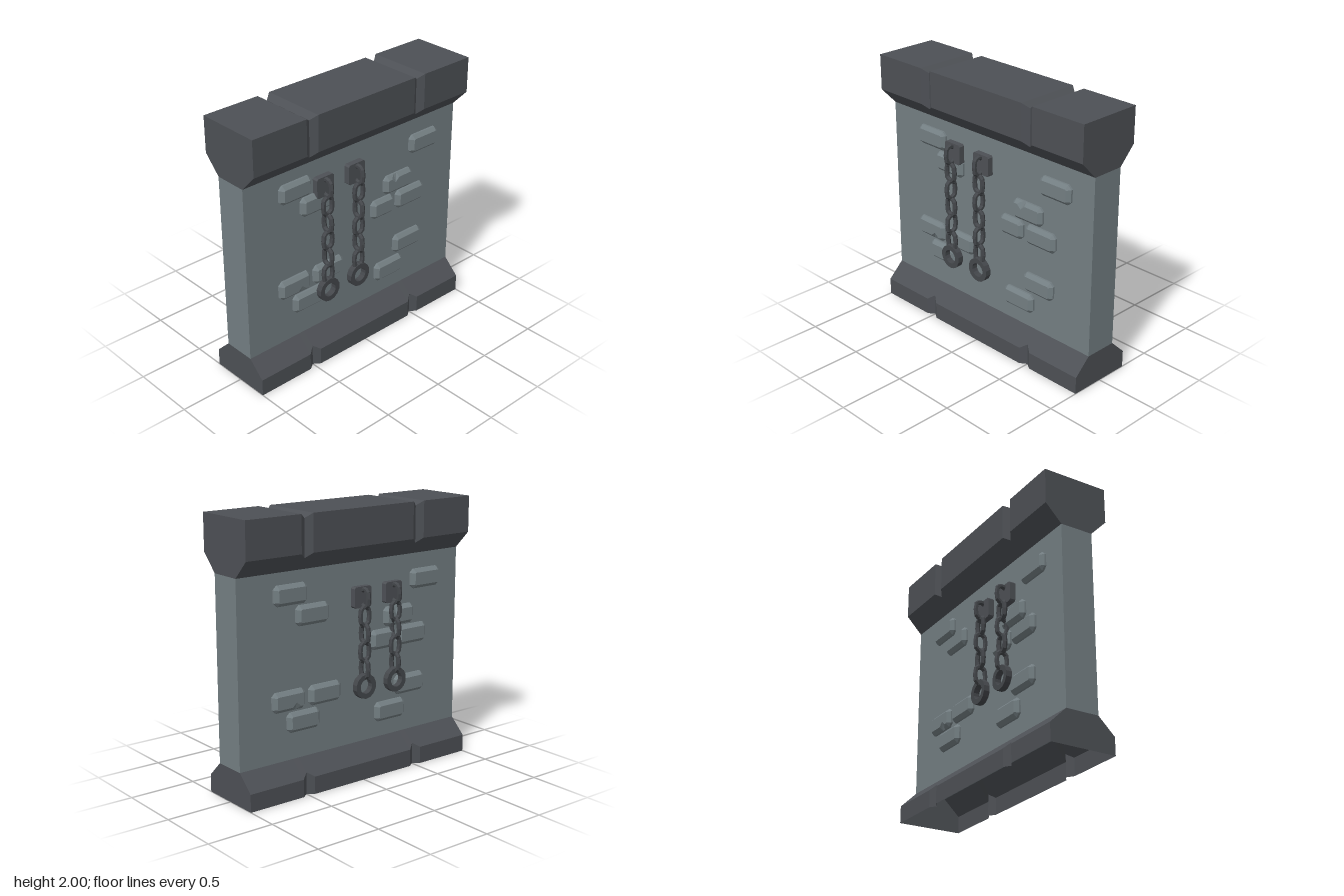
import * as THREE from 'three';

const mat = (name, color, side = THREE.FrontSide) => {
  const m = new THREE.MeshStandardMaterial({ color, side, flatShading: true });
  m.name = name;
  return m;
};

const add = (parent, name, geometry, material, x = 0, y = 0, z = 0) => {
  const mesh = new THREE.Mesh(geometry, material);
  mesh.name = name;
  mesh.position.set(x, y, z);
  parent.add(mesh);
  return mesh;
};

// Joins counter-clockwise 2D loops at rising z; skip lists loop segments left open.
function loft(loops, skip = [], capStart = true) {
  const pos = [];
  const put = (i, j) => pos.push(loops[i].pts[j][0], loops[i].pts[j][1], loops[i].z);
  const n = loops[0].pts.length, last = loops.length - 1;
  for (let i = 0; i < last; i++) {
    for (let j = 0; j < n; j++) {
      if (skip.includes(j)) continue;
      const k = (j + 1) % n;
      put(i, j); put(i, k); put(i + 1, k);
      put(i, j); put(i + 1, k); put(i + 1, j);
    }
  }
  const cap = (i, flip) => {
    const contour = loops[i].pts.map(p => new THREE.Vector2(p[0], p[1]));
    for (const [a, b, c] of THREE.ShapeUtils.triangulateShape(contour, [])) {
      (flip ? [a, c, b] : [a, b, c]).forEach(v => put(i, v));
    }
  };
  cap(last, false);
  if (capStart) cap(0, true);
  const g = new THREE.BufferGeometry();
  g.setAttribute('position', new THREE.Float32BufferAttribute(pos, 3));
  g.computeVertexNormals();
  return g;
}

// Long moulding along x with V grooves at x = -0.5 and 0.5
function moulding(full, grooved, skip) {
  const stations = [-1, -0.55, -0.5, -0.45, 0.45, 0.5, 0.55, 1];
  const loops = stations.map(z => ({ z, pts: Math.abs(z) === 0.5 ? grooved : full }));
  return loft(loops, skip).rotateY(Math.PI / 2);
}

// Bevelled brick, optionally with a chip in its upper front edge
function brick(w, h, chipX) {
  const loop = (a, b, cut, chip) => {
    const pts = [[a - cut, -b], [a, cut - b], [a, b - cut], [a - cut, b]];
    if (chipX !== undefined) pts.push(...chip.map(([x, y]) => [chipX + x, b + y]));
    pts.push([cut - a, b], [-a, b - cut], [-a, cut - b], [cut - a, -b]);
    return pts;
  };
  const outer = loop(w / 2, h / 2, 0.028, [[0.03, 0], [0, 0], [-0.03, 0]]);
  const inner = loop(w / 2 - 0.026, h / 2 - 0.026, 0.006, [[0.036, 0], [0, -0.032], [-0.036, 0]]);
  return loft([{ z: 0.12, pts: outer }, { z: 0.14, pts: outer }, { z: 0.166, pts: inner }], [], false);
}

// Hanging chain: plate, alternating links and an end ring
function chain(x, top, count, step, ringY, iron, stone) {
  const g = new THREE.Group();
  g.name = 'chain';
  const a = 0.077, c = 0.012;
  const plate = new THREE.Shape([[a - c, -a], [a, c - a], [a, a - c], [a - c, a], [c - a, a], [-a, a - c], [-a, c - a], [c - a, -a]]
    .map(p => new THREE.Vector2(...p)));
  add(g, 'chainPlate', new THREE.ExtrudeGeometry(plate, { depth: 0.05, bevelEnabled: false }), stone, x, top + 0.005, 0.12);

  const link = new THREE.TorusGeometry(0.041, 0.018, 6, 12);
  const p = link.attributes.position;
  for (let i = 0; i < p.count; i++) {
    const y = p.getY(i);
    if (Math.abs(y) > 1e-4) p.setY(i, y + Math.sign(y) * 0.024);
  }
  link.computeVertexNormals();
  for (let i = 0; i < count; i++) {
    const m = add(g, 'chainLink', link, iron, x, top - i * step, 0.19);
    if (i % 2 === 0) m.rotation.y = Math.PI / 2;
  }

  const section = [[0.054, -0.023], [0.092, -0.023], [0.092, 0.023], [0.054, 0.023], [0.054, -0.023]]
    .map(q => new THREE.Vector2(...q));
  add(g, 'endRing', new THREE.LatheGeometry(section, 14).rotateX(Math.PI / 2), iron, x, ringY, 0.188);
  return g;
}

export function createModel() {
  const model = new THREE.Group();
  model.name = 'dungeonWall';
  const wallMat = mat('wallStone', 0x737e82);
  const trimMat = mat('darkStone', 0x4d5055, THREE.DoubleSide);
  const ironMat = mat('iron', 0x44474b, THREE.DoubleSide);

  // Wall slab
  add(model, 'wall', new THREE.BoxGeometry(2, 1.35, 0.25), wallMat, 0, 0.925, 0);

  // Top beam, and the hollow base open underneath
  const topLoop = (z, low, high) => [[-0.125, 1.6], [0.125, 1.6], [z, low], [z, high], [-z, high], [-z, low]];
  add(model, 'topBeam', moulding(topLoop(0.25, 1.73, 2), topLoop(0.215, 1.694, 1.965), [0]), trimMat);
  const baseLoop = (z, y) => [[z, 0], [z, y], [0.125, 0.25], [-0.125, 0.25], [-z, y], [-z, 0]];
  add(model, 'base', moulding(baseLoop(0.25, 0.13), baseLoop(0.215, 0.164), [2, 5]), trimMat);

  // Raised bricks: x, y, width, chip position, chip on the lower edge
  const bricks = [
    [-0.565, 1.44, 0.28], [-0.38, 1.28, 0.28], [0.67, 1.41, 0.28],
    [0.415, 1.16, 0.28, -0.047], [0.26, 1.0, 0.22], [0.54, 1.0, 0.28],
    [-0.59, 0.69, 0.28, -0.05, true], [-0.275, 0.69, 0.28],
    [-0.465, 0.525, 0.28], [0.525, 0.62, 0.28], [0.335, 0.445, 0.28],
  ];
  for (const side of ['front', 'back']) {
    const face = new THREE.Group();
    face.name = side + 'Face';
    if (side === 'back') face.rotation.y = Math.PI;
    for (const [x, y, w, chip, low] of bricks) {
      const b = add(face, 'brick', brick(w, 0.146, chip), wallMat, x, y);
      if (low) b.rotation.z = Math.PI;
    }
    // Two chains on each face, shorter on the back
    if (side === 'front') {
      for (const x of [-0.32, -0.025]) face.add(chain(x, 1.39, 6, 0.138, 0.567, ironMat, trimMat));
    } else {
      for (const x of [0.05, 0.34]) face.add(chain(x, 1.34, 5, 0.13, 0.69, ironMat, trimMat));
    }
    model.add(face);
  }
  return model;
}
